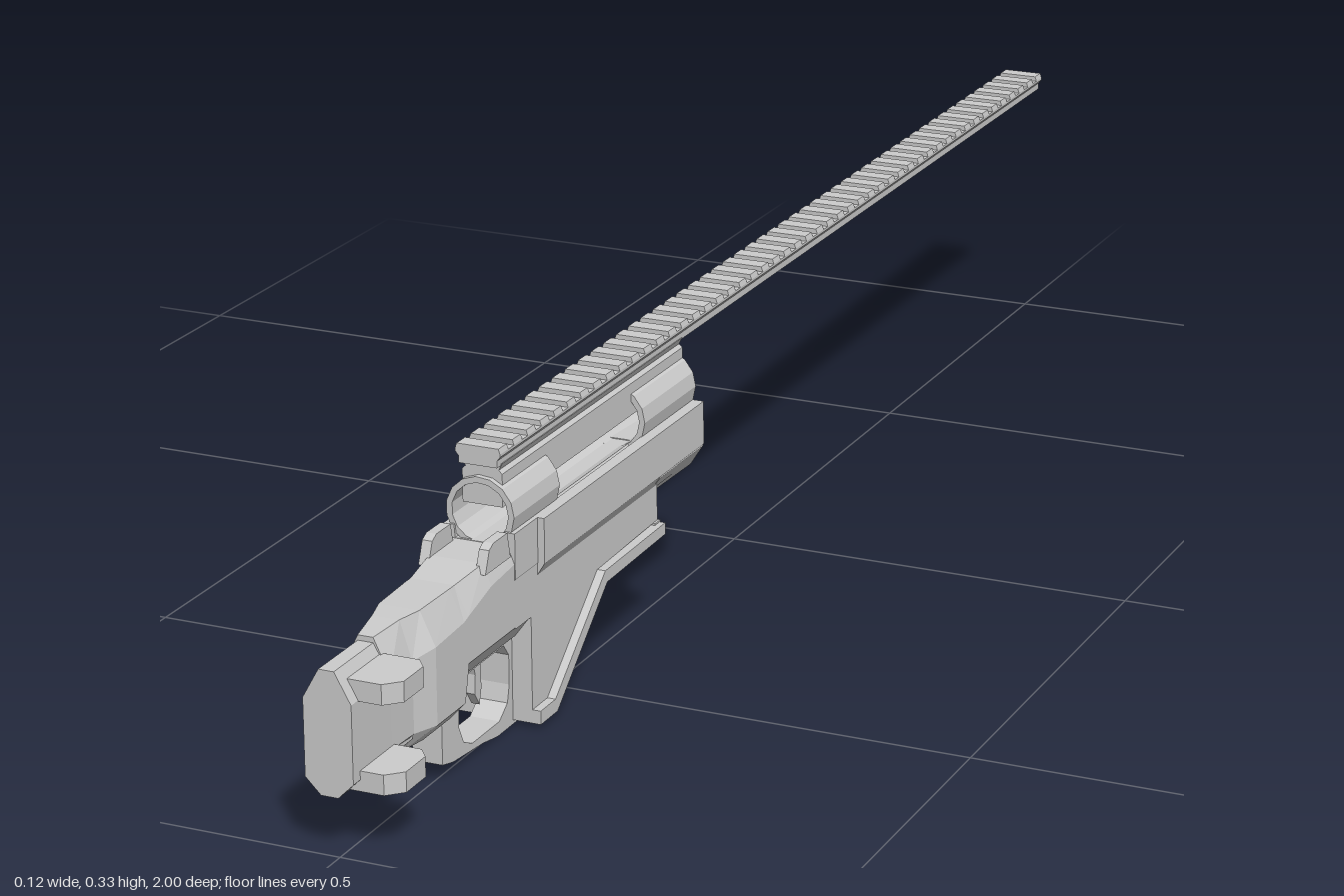
import * as THREE from 'three';

const CX = -0.01; // symmetry plane of the body
const material = new THREE.MeshStandardMaterial({ color: 0xcccccc, flatShading: true, side: THREE.DoubleSide });

export function createModel() {
  const model = new THREE.Group();

  const add = (name, geometry, x = CX) => {
    const mesh = new THREE.Mesh(geometry, material);
    mesh.name = name;
    mesh.position.x = x;
    model.add(mesh);
    return mesh;
  };
  const toShape = (pts) => new THREE.Shape(pts.map(([a, b]) => new THREE.Vector2(a, b)));

  // Cross-section (x, y) pushed along z
  const alongZ = (pts, z0, z1) =>
    new THREE.ExtrudeGeometry(toShape(pts), { depth: z1 - z0, bevelEnabled: false }).translate(0, 0, z0);

  // Side profile (z, y) pushed along x, centred
  const alongX = (pts, width, hole) => {
    const shape = toShape(pts);
    if (hole) shape.holes.push(new THREE.Path(hole.map(([a, b]) => new THREE.Vector2(a, b))));
    return new THREE.ExtrudeGeometry(shape, { depth: width, bevelEnabled: false })
      .translate(0, 0, -width / 2).rotateY(-Math.PI / 2);
  };

  const box = (w, y0, y1, z0, z1) =>
    new THREE.BoxGeometry(w, y1 - y0, z1 - z0).translate(0, (y0 + y1) / 2, (z0 + z1) / 2);

  // Loft of octagons; station = [z, topHalf, half, top, shoulder, lowerEdge, bottom, bottomHalf]
  const loft = (stations) => {
    const pos = [], idx = [], n = 8;
    for (const [z, t, w, yt, ys, yc, yb, b] of stations) {
      for (const [x, y] of [[b, yb], [w, yc], [w, ys], [t, yt], [-t, yt], [-w, ys], [-w, yc], [-b, yb]]) pos.push(x, y, z);
    }
    for (let i = 0; i < stations.length - 1; i++) {
      for (let j = 0; j < n; j++) {
        const a = i * n + j, b = i * n + (j + 1) % n, c = b + n, d = a + n;
        idx.push(a, d, c, a, c, b);
      }
    }
    const last = (stations.length - 1) * n;
    for (let j = 1; j < n - 1; j++) idx.push(0, j, j + 1, last, last + j + 1, last + j);
    const g = new THREE.BufferGeometry();
    g.setAttribute('position', new THREE.Float32BufferAttribute(pos, 3));
    g.setIndex(idx);
    g.computeVertexNormals();
    return g;
  };

  // Part of a hollow tube between two angles in degrees
  const TUBE_Y = 0.257;
  const tubeArc = (r0, r1, a0, a1, z0, z1) => {
    const steps = Math.max(2, Math.round((a1 - a0) / 24));
    const at = (r, i) => {
      const a = THREE.MathUtils.degToRad(a0 + (a1 - a0) * i / steps);
      return [r * Math.cos(a), TUBE_Y + r * Math.sin(a)];
    };
    const pts = [];
    for (let i = 0; i <= steps; i++) pts.push(at(r1, i));
    for (let i = steps; i >= 0; i--) pts.push(at(r0, i));
    return alongZ(pts, z0, z1);
  };

  // Rear stock block, flaring into the grip section
  add('rearBody', loft([
    [1.0, 0.009, 0.028, 0.206, 0.172, 0.084, 0.066, 0.01],
    [0.87, 0.009, 0.028, 0.206, 0.172, 0.084, 0.066, 0.01],
  ]));
  add('gripBody', loft([
    [0.915, 0.009, 0.028, 0.212, 0.172, 0.09, 0.07, 0.014],
    [0.87, 0.016, 0.03, 0.216, 0.172, 0.09, 0.07, 0.018],
    [0.84, 0.024, 0.042, 0.217, 0.178, 0.09, 0.07, 0.024],
    [0.775, 0.026, 0.042, 0.218, 0.182, 0.09, 0.07, 0.024],
    [0.765, 0.026, 0.042, 0.218, 0.185, 0.132, 0.105, 0.022],
    [0.71, 0.032, 0.042, 0.224, 0.2, 0.132, 0.105, 0.022],
    [0.6, 0.036, 0.042, 0.225, 0.21, 0.132, 0.105, 0.022],
  ]));

  // Hinge lugs on the left side of the stock
  for (const y of [0.171, 0.071]) {
    const lug = [[0.0, 0.91], [0.05, 0.91], [0.062, 0.925], [0.062, 0.968], [0.045, 0.985], [0.0, 0.985]];
    const g = new THREE.ExtrudeGeometry(toShape(lug), { depth: 0.023, bevelEnabled: false });
    add('hingeLug', g.rotateX(Math.PI / 2).translate(0, y + 0.023, 0), 0);
  }

  // Middle body with the sloping underside
  add('mainBody', alongX([
    [0.655, 0.225], [0.655, 0.13], [0.617, 0.13], [0.617, 0.02], [0.578, 0.02],
    [0.445, 0.126], [0.29, 0.13], [0.29, 0.225],
  ], 0.084));

  // Raised lip around the underside opening
  const lip = [
    [0.617, 0.005], [0.575, 0.005], [0.445, 0.111], [0.29, 0.114],
    [0.29, 0.128], [0.45, 0.126], [0.58, 0.021], [0.617, 0.021],
  ];
  for (const s of [-1, 1]) add('wellLip', alongX(lip, 0.014), CX + s * 0.045);
  add('wellLipRear', box(0.09, 0.005, 0.021, 0.585, 0.617));
  add('wellLipFront', box(0.09, 0.114, 0.13, 0.288, 0.303));

  // Side cheeks that cradle the tube
  for (const s of [-1, 1]) {
    const cheek = [[0.04, 0.17], [0.051, 0.188], [0.051, 0.24], [0.036, 0.24], [0.034, 0.222], [0.04, 0.222]];
    const pts = cheek.map(([x, y]) => [s * x, y]);
    add('cheek', alongZ(pts, 0.18, 0.6));
    add('rearCheek', alongZ(pts.map(([x, y]) => [x * 0.84, y]), 0.6, 0.655));
    // Small ears behind the tube
    add('rearEar', alongX([[0.72, 0.215], [0.71, 0.24], [0.7, 0.245], [0.667, 0.245], [0.66, 0.215]], 0.012), CX + s * 0.034);
  }

  // Fore-end with pointed nose
  add('foreEnd', loft([
    [0.3, 0.038, 0.05, 0.226, 0.205, 0.185, 0.162, 0.034],
    [0.18, 0.038, 0.05, 0.224, 0.205, 0.185, 0.16, 0.034],
    [0.178, 0.028, 0.046, 0.212, 0.2, 0.182, 0.16, 0.03],
    [0.095, 0.004, 0.008, 0.182, 0.181, 0.179, 0.176, 0.004],
  ]));

  // Trigger guard with rounded opening
  add('triggerGuard', alongX([
    [0.785, 0.12], [0.785, 0.018], [0.76, 0.012], [0.69, 0.006], [0.655, 0], [0.6, 0], [0.6, 0.12],
  ], 0.036, [
    [0.745, 0.085], [0.745, 0.045], [0.735, 0.025], [0.715, 0.016], [0.65, 0.016],
    [0.63, 0.03], [0.625, 0.05], [0.625, 0.085], [0.637, 0.1], [0.733, 0.1],
  ]));
  add('trigger', alongX([
    [0.69, 0.11], [0.68, 0.08], [0.682, 0.058], [0.671, 0.042], [0.666, 0.06], [0.668, 0.11],
  ], 0.01));

  // Receiver tube, open on the left for the port
  add('tubeFront', tubeArc(0.034, 0.041, 0, 360, 0.18, 0.32));
  add('tubePort', tubeArc(0.034, 0.041, 55, 305, 0.32, 0.54));
  add('tubeRear', tubeArc(0.034, 0.041, 0, 360, 0.54, 0.652));
  add('tubeCover', tubeArc(0.041, 0.045, 130, 205, 0.32, 0.54));

  // Rail mount block
  add('railMount', alongZ([
    [-0.024, 0.264], [0.024, 0.264], [0.024, 0.302], [0.02, 0.306], [0.024, 0.314],
    [-0.024, 0.314], [-0.02, 0.306], [-0.024, 0.302],
  ], 0.18, 0.645));

  // Long accessory rail with evenly spaced teeth
  add('rail', alongZ([
    [-0.023, 0.312], [0.023, 0.312], [0.023, 0.32], [0.027, 0.325], [0.027, 0.328],
    [-0.027, 0.328], [-0.027, 0.325], [-0.023, 0.32],
  ], -1, 0.655));
  const teeth = 50, pitch = 1.655 / (teeth - 0.4);
  for (let i = 0; i < teeth; i++) {
    const z = -1 + i * pitch;
    add('railTooth', alongZ([[-0.027, 0.328], [0.027, 0.328], [0.025, 0.334], [-0.025, 0.334]], z, z + pitch * 0.6));
  }

  return model;
}
